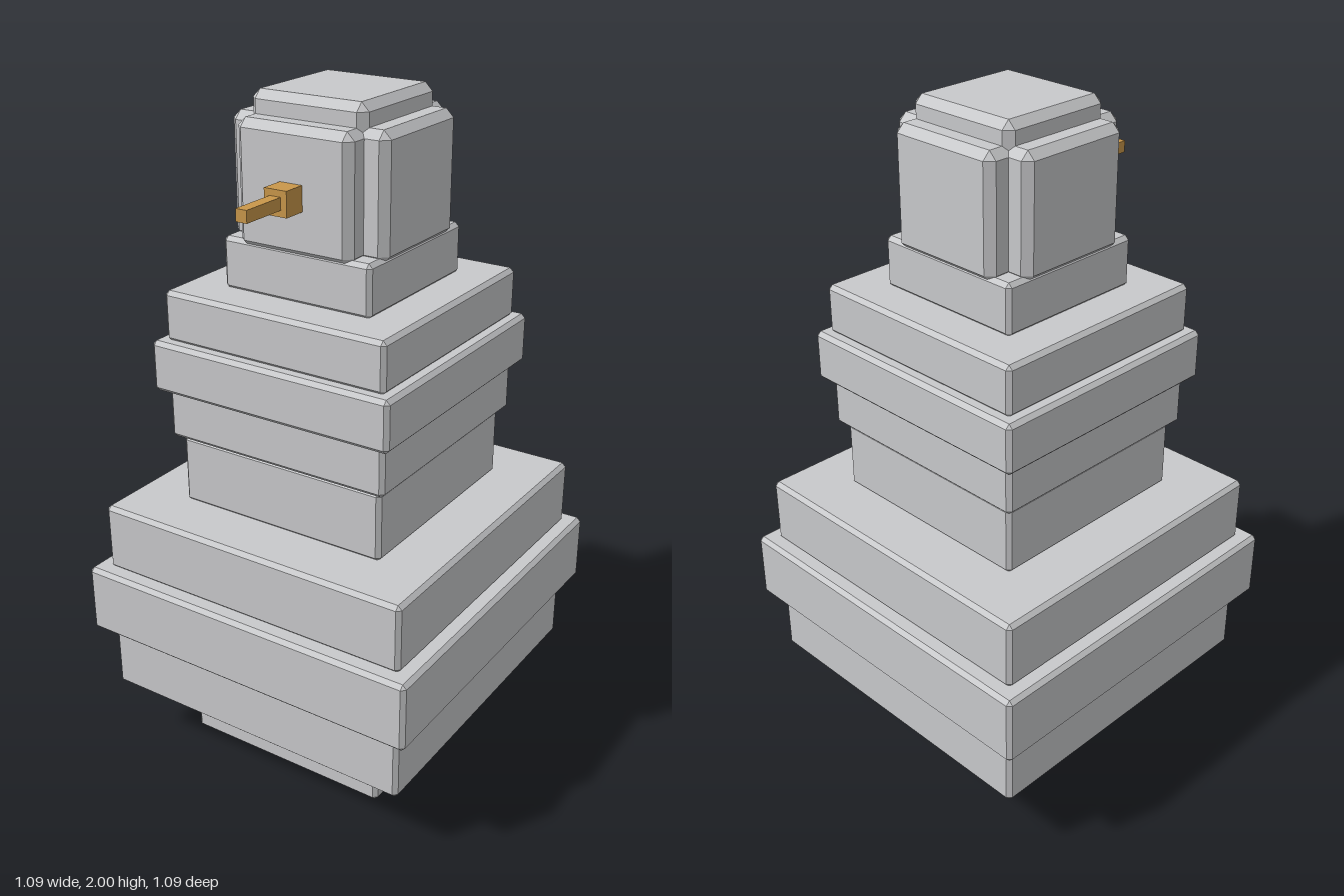
import * as THREE from 'three';
import { ConvexGeometry } from 'three/addons/geometries/ConvexGeometry.js';

// Box with every edge cut by a flat chamfer: each corner becomes three points
function chamferBox(w, h, d, c) {
  const points = [];
  for (const sx of [-1, 1]) for (const sy of [-1, 1]) for (const sz of [-1, 1]) {
    for (let axis = 0; axis < 3; axis++) {
      const inset = [c, c, c];
      inset[axis] = 0;
      points.push(new THREE.Vector3(
        sx * (w / 2 - inset[0]), sy * (h / 2 - inset[1]), sz * (d / 2 - inset[2])));
    }
  }
  return new ConvexGeometry(points);
}

export function createModel() {
  const group = new THREE.Group();
  const stone = new THREE.MeshStandardMaterial({ name: 'pale grey', color: 0xc8c9cb, flatShading: true });
  const amber = new THREE.MeshStandardMaterial({ name: 'amber', color: 0xc9974a, flatShading: true });

  const add = (name, geometry, material, x, y, z) => {
    const mesh = new THREE.Mesh(geometry, material);
    mesh.name = name;
    mesh.position.set(x, y, z);
    group.add(mesh);
  };
  const block = (name, w, d, y0, y1, c) =>
    add(name, chamferBox(w, y1 - y0, d, c), stone, 0, (y0 + y1) / 2, 0);

  // Stacked square tiers: name, half width, bottom, top
  const tiers = [
    ['foot', 0.333, 0, 0.21],
    ['lowerBodyBottom', 0.5, 0.205, 0.415],
    ['lowerBodyMiddle', 0.545, 0.41, 0.62],
    ['lowerBodyTop', 0.5, 0.615, 0.82],
    ['waist', 0.333, 0.815, 1.025],
    ['upperBodyBottom', 0.356, 1.025, 1.175],
    ['upperBodyMiddle', 0.386, 1.172, 1.322],
    ['upperBodyTop', 0.356, 1.318, 1.465],
    ['neck', 0.237, 1.46, 1.61],
  ];
  for (const [name, half, y0, y1] of tiers) block(name, half * 2, half * 2, y0, y1, 0.012);

  // Head: a tall core crossed by two wider blocks
  block('headCore', 0.36, 0.36, 1.59, 2, 0.023);
  block('headSides', 0.492, 0.36, 1.59, 1.938, 0.023);
  block('headFrontAndBack', 0.36, 0.492, 1.59, 1.938, 0.023);

  // Nose: square socket with a thin rod
  add('noseSocket', new THREE.BoxGeometry(0.07, 0.07, 0.08), amber, 0, 1.755, 0.275);
  add('noseRod', new THREE.BoxGeometry(0.034, 0.034, 0.15), amber, 0, 1.755, 0.382);

  return group;
}
